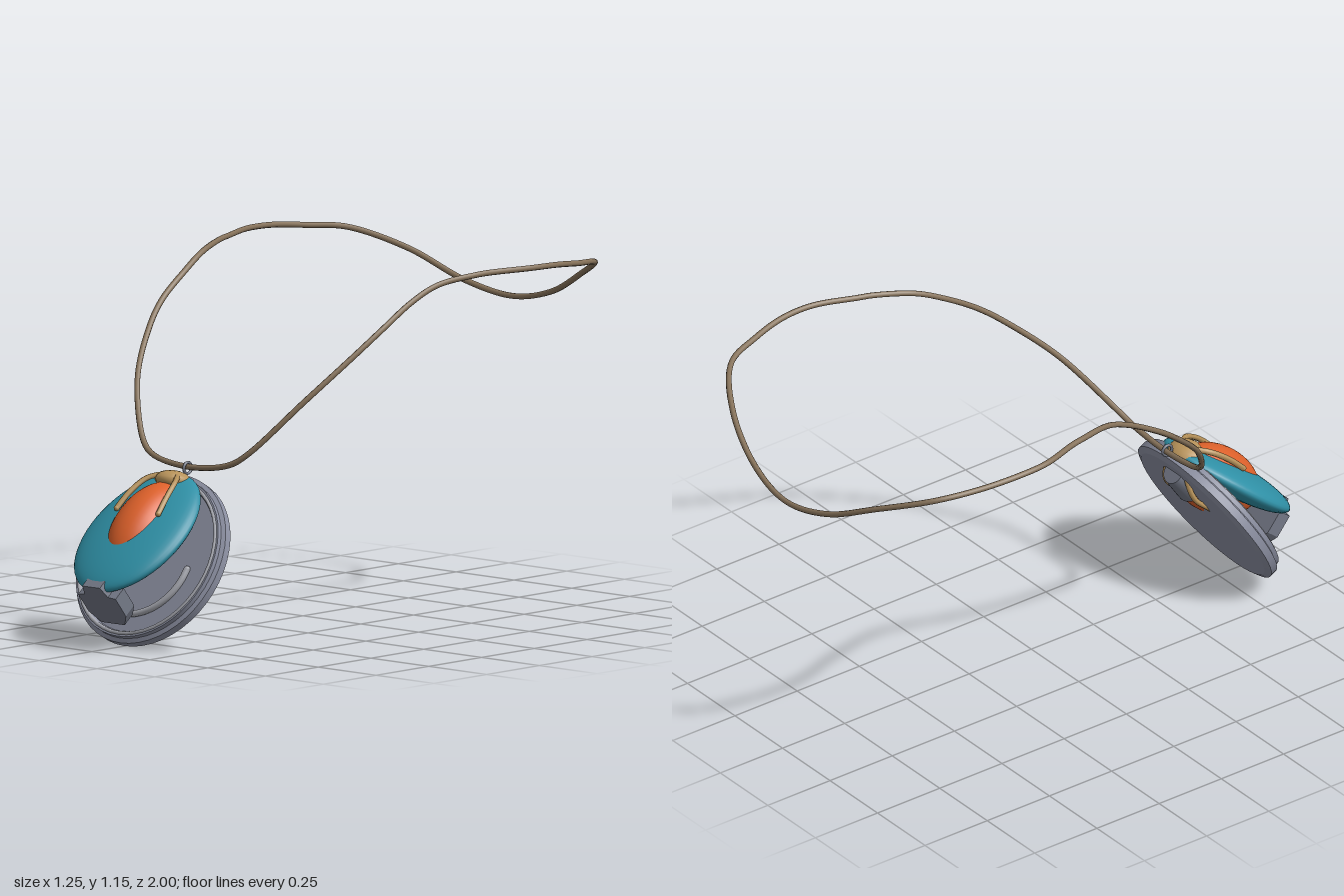
import * as THREE from 'three';

const mat = (name, color) => {
  const m = new THREE.MeshStandardMaterial({ color });
  m.name = name;
  return m;
};

export function createModel() {
  const cordBrown = mat('cord brown', 0x86725a);
  const plateGrey = mat('plate grey', 0x8c90a2);
  const silver = mat('silver', 0xa9abb3);
  const steel = mat('steel', 0x747987);
  const teal = mat('teal', 0x2f90a6);
  const orange = mat('orange', 0xdc602a);
  const gold = mat('gold', 0xb8935a);

  const model = new THREE.Group();
  model.name = 'pendantNecklace';
  const add = (parent, name, geo, material, x = 0, y = 0, z = 0) => {
    const mesh = new THREE.Mesh(geo, material);
    mesh.name = name;
    mesh.position.set(x, y, z);
    parent.add(mesh);
    return mesh;
  };
  const tube = (pts, r, seg, sides, closed = false) => new THREE.TubeGeometry(
    new THREE.CatmullRomCurve3(pts.map((p) => new THREE.Vector3(...p)), closed, 'centripetal'),
    seg, r, sides, closed);

  // Cord: right half from the pendant to the nape, mirrored to close the loop
  const half = [
    [0.165, 0.567, 0.53], [0.225, 0.605, 0.51], [0.36, 0.775, 0.39], [0.44, 0.91, 0.25],
    [0.474, 0.99, 0.15], [0.49, 1.07, 0.02], [0.51, 1.115, -0.08], [0.553, 1.137, -0.215],
    [0.566, 1.14, -0.265], [0.612, 1.143, -0.41], [0.614, 1.14, -0.53], [0.587, 1.127, -0.66],
    [0.532, 1.11, -0.80], [0.375, 1.045, -0.912], [0.19, 0.958, -0.968],
  ];
  const loop = [[0, 0.545, 0.538], ...half, [0, 0.922, -0.988],
    ...half.slice().reverse().map(([x, y, z]) => [-x, y, z])];
  add(model, 'cord', tube(loop, 0.0095, 220, 8, true), cordBrown);

  // Bail ring joining cord and pendant
  const bail = add(model, 'bailRing', new THREE.TorusGeometry(0.018, 0.005, 8, 20), steel, 0, 0.543, 0.547);
  bail.rotation.y = Math.PI / 2;

  // Tilted back disc
  const disc = new THREE.Group();
  disc.name = 'backDisc';
  disc.position.set(0, 0.266, 0.715);
  disc.rotation.x = -Math.PI / 6;
  model.add(disc);
  const profile = [[0, -0.03], [0.272, -0.03], [0.272, -0.03], [0.294, -0.02], [0.294, -0.02],
    [0.294, 0.006], [0.294, 0.006], [0.28, 0.012], [0.28, 0.012], [0.28, 0.028], [0.28, 0.028],
    [0.264, 0.028], [0.264, 0.028], [0.258, 0.016], [0.258, 0.016], [0, 0.016]]
    .map(([r, y]) => new THREE.Vector2(r, y));
  add(disc, 'plate', new THREE.LatheGeometry(profile, 48), plateGrey).rotation.x = Math.PI / 2;
  add(disc, 'rimRing', new THREE.TorusGeometry(0.268, 0.007, 6, 48), silver, 0, 0, 0.026);

  // Inward-curling wire lying on the disc
  const curl = [];
  for (let i = 0; i <= 16; i++) {
    const t = i / 16, a = Math.PI * (0.98 + t * 0.98), r = 0.222 - 0.042 * t;
    curl.push([r * Math.cos(a), r * Math.sin(a), 0.022]);
  }
  add(disc, 'curledWire', tube(curl, 0.011, 48, 8), silver);
  for (const p of [curl[0], curl[16]])
    add(disc, 'wireEnd', new THREE.SphereGeometry(0.011, 8, 6), silver, ...p);

  // Gem assembly, leaning further forward than the disc
  const gem = new THREE.Group();
  gem.name = 'gemAssembly';
  gem.position.set(0, 0.36, 0.785);
  gem.rotation.x = -51 * Math.PI / 180;
  model.add(gem);
  const ball = (name, material, r, y, z) =>
    add(gem, name, new THREE.SphereGeometry(1, 40, 28), material, 0, y, z).scale.set(...r);
  ball('tealLens', teal, [0.199, 0.262, 0.052], 0, 0);
  ball('orangeDrop', orange, [0.105, 0.185, 0.111], 0.04, -0.025);

  // Cup over the rear top of the drop
  add(gem, 'rearCup', new THREE.CylinderGeometry(0.04, 0.07, 0.1, 20), steel, 0, 0.175, -0.062);

  // Cap with four curved prongs
  const cap = add(model, 'cap', new THREE.SphereGeometry(1, 12, 8), gold, 0, 0.513, 0.617);
  cap.scale.set(0.063, 0.031, 0.055);
  cap.rotation.x = -0.15;
  for (const s of [1, -1]) {
    add(gem, 'frontProng', tube([[s * 0.025, 0.235, 0.03], [s * 0.06, 0.19, 0.052],
      [s * 0.08, 0.115, 0.06], [s * 0.09, 0.045, 0.055]], 0.0095, 16, 6), gold);
    add(gem, 'rearProng', tube([[s * 0.025, 0.235, -0.01], [s * 0.058, 0.2, -0.07],
      [s * 0.075, 0.15, -0.105], [s * 0.085, 0.08, -0.11]], 0.009, 16, 6), gold);
    // Flat prong tips
    add(gem, 'prongTip', new THREE.SphereGeometry(0.0095, 8, 6), gold, s * 0.09, 0.045, 0.055);
    add(gem, 'prongTip', new THREE.SphereGeometry(0.009, 8, 6), gold, s * 0.085, 0.08, -0.11);
  }

  // Bracket holding the lower tip of the lens to the disc
  const side = [[0.038, 0.022], [0.05, -0.018], [0.081, -0.022], [0.081, -0.1], [0.05, -0.145]];
  const outline = [...side, ...side.slice().reverse().map(([x, y]) => [-x, y])]
    .map(([x, y]) => new THREE.Vector2(x, y));
  const bracketGeo = new THREE.ExtrudeGeometry(new THREE.Shape(outline), { depth: 0.05, bevelEnabled: false });
  const bracket = add(gem, 'lowerBracket', bracketGeo, steel, 0, -0.215, 0);
  bracket.rotation.x = Math.PI / 2;
  bracket.scale.y = 1;
  // Extrusion runs toward the tip, so flip the outline to point outward
  bracketGeo.scale(1, -1, 1);
  bracketGeo.rotateZ(Math.PI);
  bracketGeo.scale(-1, 1, 1);
  bracketGeo.rotateX(0);
  bracket.rotation.x = Math.PI / 2;
  return model;
}
